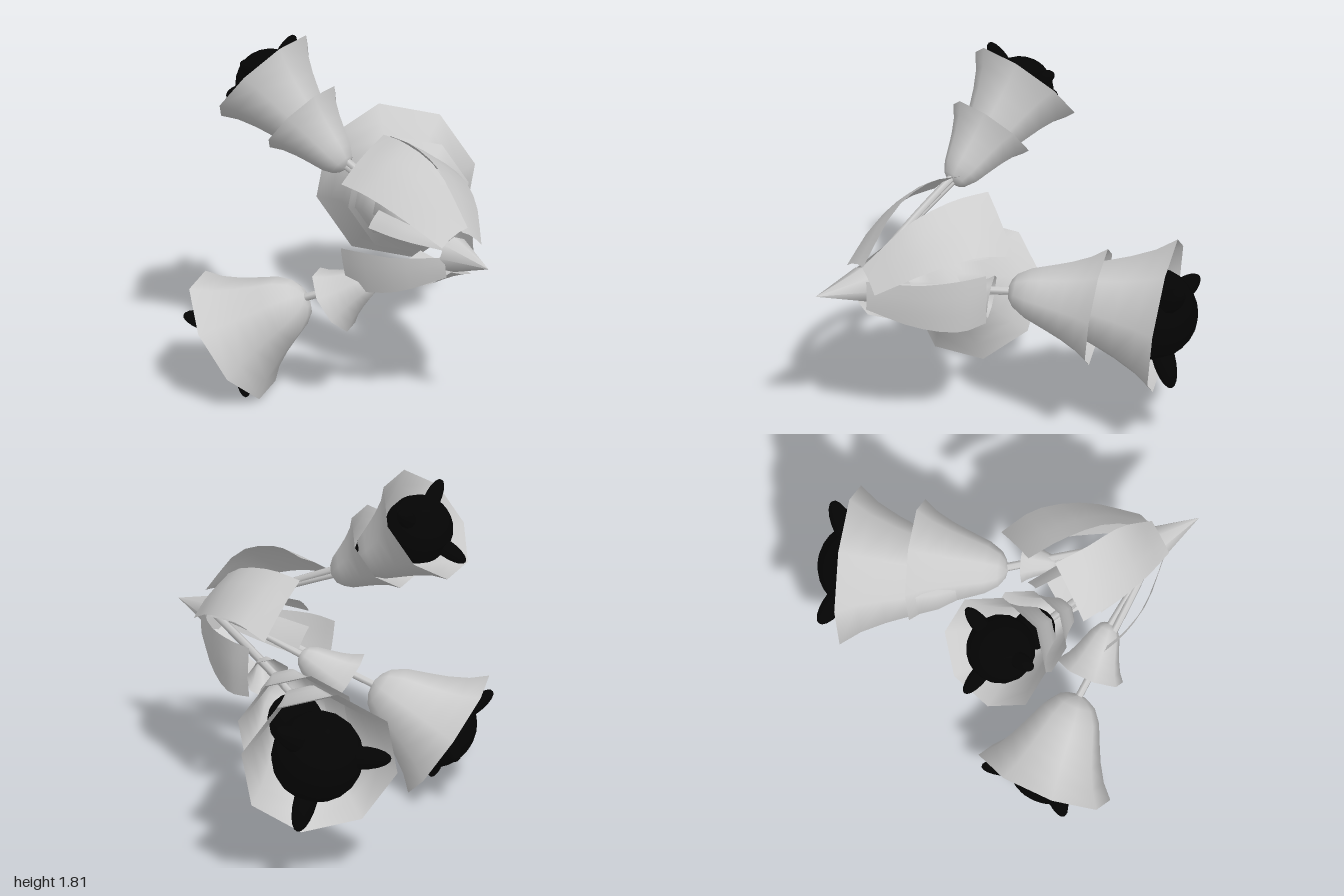
import * as THREE from 'three';

const V = (p) => new THREE.Vector3(...p);
const rad = THREE.MathUtils.degToRad;

export function createModel() {
  const model = new THREE.Group();
  model.name = 'bellFlowerPlant';
  const grey = new THREE.MeshStandardMaterial({ color: 0xcccccc, side: THREE.DoubleSide });
  grey.name = 'paleGrey';
  const black = new THREE.MeshStandardMaterial({ color: 0x040404 });
  black.name = 'black';

  function add(parent, name, geometry, material) {
    const mesh = new THREE.Mesh(geometry, material);
    mesh.name = name;
    parent.add(mesh);
    return mesh;
  }

  // Bell with a domed crown and an eight-sided flared rim, opening along its local +y
  const profile = [[0, -0.02], [0.07, 0], [0.12, 0.035], [0.175, 0.12], [0.205, 0.2], [0.235, 0.28],
    [0.275, 0.38], [0.335, 0.5], [0.41, 0.6]].map(([r, t]) => new THREE.Vector2(r, t));

  function bell(name, rim, axis, scale, turn, stretch = 1) {
    const group = new THREE.Group();
    group.name = name;
    const y = V(axis).normalize();
    const x = new THREE.Vector3(-y.z, 0, y.x).normalize();
    const z = new THREE.Vector3().crossVectors(x, y);
    group.quaternion.setFromRotationMatrix(new THREE.Matrix4().makeBasis(x, y, z));
    group.position.copy(V(rim)).addScaledVector(y, -0.6 * scale * stretch);
    group.scale.set(scale, scale * stretch, scale);
    model.add(group);
    add(group, 'petalBell', new THREE.LatheGeometry(profile, 8, -rad(turn)), grey);

    // Stem from the root to the crown of the bell
    const end = group.position.clone();
    const path = new THREE.CatmullRomCurve3([
      V([-0.06, 0.86, 0.72]),
      V([-0.06, 0.86, 0.72]).lerp(end, 0.5).add(V([0, 0.01, 0.02])),
      end.clone().addScaledVector(y, 0.04),
    ]);
    add(model, name + 'Stem', new THREE.TubeGeometry(path, 10, 0.02, 6), grey);
    return group;
  }

  // Round clapper inside a bell
  function clapper(group, radius, height) {
    add(group, 'clapper', new THREE.SphereGeometry(radius, 18, 14), black).position.y = height;
  }

  // Three tapered prongs on a large clapper
  function prongs(group, turn) {
    for (let i = 0; i < 3; i++) {
      const a = rad(turn + i * 120);
      const dir = new THREE.Vector3(Math.cos(a) * 0.9, 0.42, Math.sin(a) * 0.9).normalize();
      const prong = add(group, 'clapperProng', new THREE.SphereGeometry(1, 10, 10), black);
      prong.scale.set(0.06, 0.17, 0.06);
      prong.quaternion.setFromUnitVectors(new THREE.Vector3(0, 1, 0), dir);
      prong.position.set(0, 0.53, 0).addScaledVector(dir, 0.225);
    }
  }

  function largeBell(name, rim, axis, scale, turn, prongTurn, stretch) {
    const group = bell(name, rim, axis, scale, turn, stretch);
    clapper(group, 0.235, 0.53);
    prongs(group, prongTurn);
  }

  // Three sprays of bells, each lined up along one axis
  const leftAxis = [0.64, -0.12, -0.76];
  largeBell('leftLargeBell', [0.68, 0.68, -0.66], leftAxis, 1, 12, 50);
  clapper(bell('leftMiddleBell', [0.515, 0.73, -0.365], leftAxis, 0.76, 12), 0.185, 0.49);
  bell('leftSmallBell', [0.22, 0.77, 0.09], leftAxis, 0.28, 12);

  const rightAxis = [-0.45, -0.56, -0.7];
  largeBell('rightLargeBell', [-0.68, 0.28, -0.33], rightAxis, 0.88, 22, 10, 0.86);
  clapper(bell('rightSmallBell', [-0.385, 0.53, 0.115], rightAxis, 0.44, 22), 0.13, 0.5);

  const topAxis = [-0.2, 0.63, -0.75];
  largeBell('topLargeBell', [-0.38, 1.58, -0.44], topAxis, 0.75, 22, 30);
  clapper(bell('topMiddleBell', [-0.32, 1.41, -0.21], topAxis, 0.57, 22), 0.187, 0.5);

  // Pointed root that gathers stems and leaves
  const root = add(model, 'rootTip', new THREE.ConeGeometry(0.095, 0.27, 8), grey);
  root.rotation.x = Math.PI / 2;
  root.position.set(-0.065, 0.862, 0.815);

  // Leaf blade: rows of [z, x1, y1, x2, y2] give its two long edges
  function leaf(name, rows, bulge) {
    const a = new THREE.CatmullRomCurve3(rows.map(([z, x, y]) => V([x, y, z])));
    const b = new THREE.CatmullRomCurve3(rows.map(([z, , , x, y]) => V([x, y, z])));
    const geometry = new THREE.PlaneGeometry(1, 1, 3, 8);
    const pos = geometry.attributes.position;
    for (let i = 0; i < pos.count; i++) {
      const u = pos.getX(i) + 0.5;
      const p = a.getPoint(0.5 - pos.getY(i)).lerp(b.getPoint(0.5 - pos.getY(i)), u);
      const out = new THREE.Vector3(p.x + 0.05, p.y - 0.87, 0).normalize();
      p.addScaledVector(out, bulge * 4 * u * (1 - u));
      pos.setXYZ(i, p.x, p.y, p.z);
    }
    geometry.computeVertexNormals();
    add(model, name, geometry, grey);
  }

  leaf('topRightLeaf', [[0.71, -0.17, 0.93, 0, 1.0], [0.5, -0.27, 1.06, -0.03, 1.27],
    [0.28, -0.32, 1.13, -0.06, 1.35], [0.11, -0.33, 1.14, -0.05, 1.34]], 0.015);
  leaf('topLeftLeaf', [[0.7, -0.03, 0.98, 0.1, 0.88], [0.47, 0.04, 1.2, 0.25, 1.02],
    [0.22, 0.06, 1.28, 0.33, 1.08], [0.02, 0.06, 1.28, 0.33, 1.03]], 0.01);
  leaf('bottomLeaf', [[0.7, -0.1, 0.78, 0.03, 0.74], [0.5, -0.1, 0.65, 0.13, 0.69],
    [0.3, -0.1, 0.61, 0.16, 0.66], [0.15, -0.09, 0.6, 0.16, 0.67]], 0.005);
  leaf('rightLeaf', [[0.7, -0.14, 0.87, -0.13, 0.76], [0.5, -0.31, 0.85, -0.27, 0.66],
    [0.32, -0.39, 0.85, -0.34, 0.62], [0.2, -0.41, 0.84, -0.36, 0.61]], 0.005);
  leaf('leftLeaf', [[0.71, 0.03, 0.93, 0.03, 0.77], [0.5, 0.2, 0.93, 0.18, 0.68],
    [0.3, 0.28, 0.94, 0.28, 0.65], [0.16, 0.29, 0.94, 0.29, 0.67]], 0.008);

  // Narrow inner leaves around the stems
  leaf('innerRightLeaf', [[0.7, -0.13, 0.9, -0.1, 0.94], [0.45, -0.24, 0.92, -0.18, 0.99],
    [0.25, -0.27, 0.93, -0.2, 1.01]], 0.005);
  leaf('innerLeftLeaf', [[0.68, -0.04, 0.9, 0, 0.86], [0.35, -0.02, 0.98, 0.06, 0.92],
    [0.02, -0.01, 1.0, 0.07, 0.9]], 0.005);

  return model;
}
